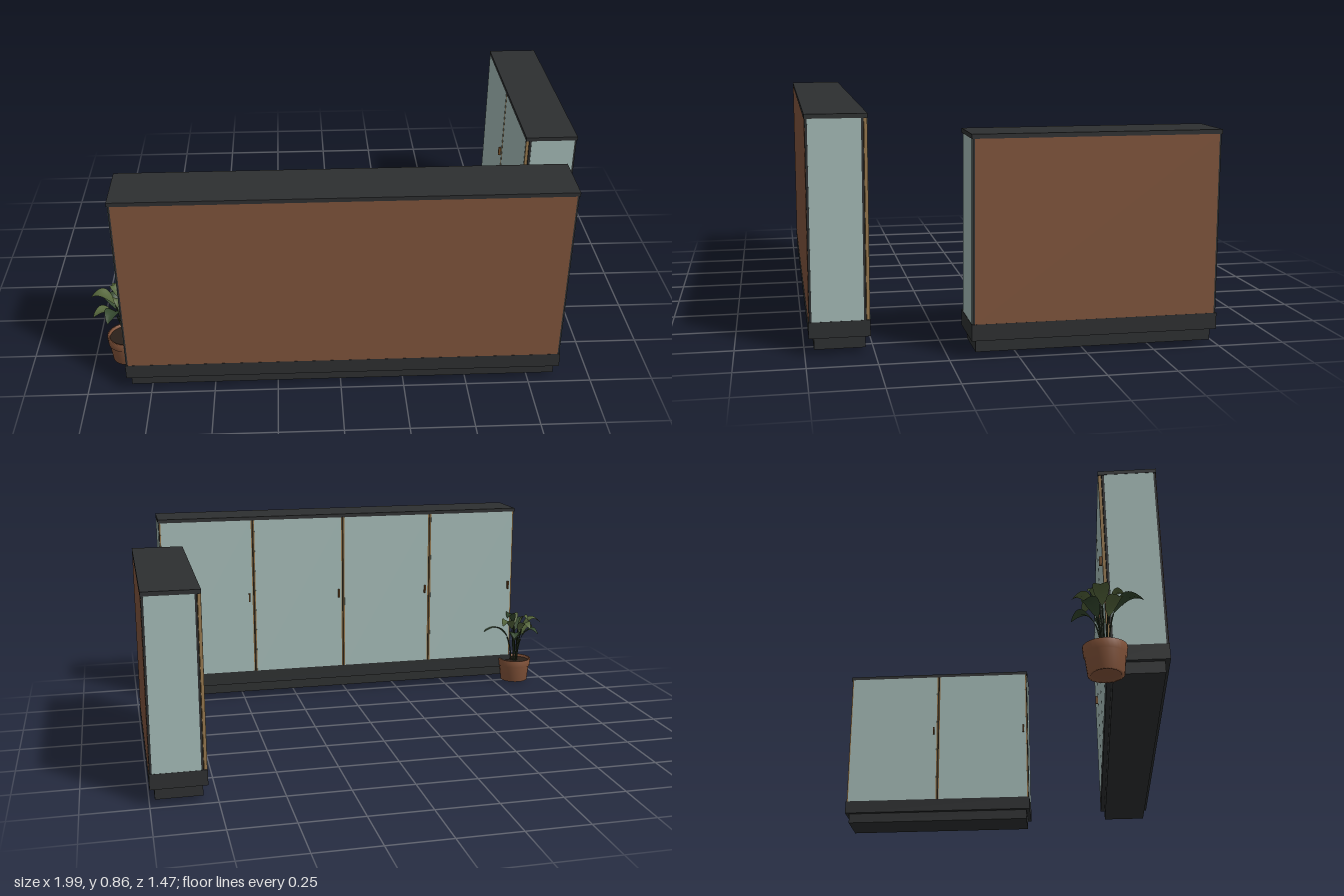
import * as THREE from 'three';

const mat = (name, color, side = THREE.FrontSide) => {
  const m = new THREE.MeshStandardMaterial({ color, side });
  m.name = name;
  return m;
};
const dark = mat('charcoal', 0x2d2f30);
const pale = mat('pale teal', 0xa2b8b4);
const brown = mat('brown board', 0x7e533b);
const gold = mat('wood edging', 0x94764c);
const brass = mat('handle brown', 0x6e4a26);
const clay = mat('terracotta', 0x84543a);
const soil = mat('soil', 0x2b2019);
const leafLight = mat('olive leaf', 0x55663c, THREE.DoubleSide);
const leafDark = mat('dark leaf', 0x35492f, THREE.DoubleSide);
const stemGreen = mat('stem green', 0x26341f);

function add(group, name, geometry, material, x = 0, y = 0, z = 0) {
  const mesh = new THREE.Mesh(geometry, material);
  mesh.name = name;
  mesh.position.set(x, y, z);
  group.add(mesh);
  return mesh;
}
// box given by its size, centre x / z and bottom y
const box = (g, name, m, w, h, d, x, y, z) =>
  add(g, name, new THREE.BoxGeometry(w, h, d), m, x, y + h / 2, z);

// Cabinet along x: board on +z, doors on -z, pale panels on both ends
function cabinet(name, length, depth, top, doors) {
  const g = new THREE.Group();
  g.name = name;
  const y0 = 0.125, slab = 0.016, h = top - slab - y0, doorT = 0.012;
  box(g, 'plinth', dark, length - 0.034, 0.047, depth - 0.036, 0, 0.02, 0);
  box(g, 'base', dark, length, 0.06, depth, 0, 0.065, 0);
  box(g, 'topSlab', dark, length, slab, depth, 0, top - slab, 0);
  box(g, 'carcass', dark, length - 0.008, h, depth - doorT - 0.005, 0, y0, doorT / 2);
  box(g, 'backBoard', brown, length - 0.022, h, 0.004, 0, y0, depth / 2 - 0.0025);
  for (const s of [-1, 1])
    box(g, 'endPanel', pale, 0.004, h, depth - doorT - 0.022, s * (length / 2 - 0.003), y0, doorT / 2);

  // doors with wooden edging and a small handle
  const step = (length - 0.006) / doors;
  for (let i = 0; i < doors; i++) {
    const x = (i - (doors - 1) / 2) * step, z = -depth / 2 + doorT / 2 + 0.001;
    box(g, 'doorEdging', gold, step - 0.004, h, doorT, x, y0, z);
    box(g, 'doorFace', pale, step - 0.016, h, 0.002, x, y0, z - doorT / 2);
    box(g, 'handle', brass, 0.007, 0.038, 0.012, x - step / 2 + 0.022, 0.465, -depth / 2 - 0.005);
  }
  return g;
}

// Leaf blade: a plane swept along an arching curve, pointed at the tip
function leafGeometry(curve, sideways, width) {
  const geo = new THREE.PlaneGeometry(1, 1, 4, 10);
  const p = geo.attributes.position;
  for (let i = 0; i < p.count; i++) {
    const u = p.getX(i) * 2, t = p.getY(i) + 0.5;
    const w = width / 2 * Math.pow(Math.sin(Math.PI * Math.pow(t, 0.85)), 0.75);
    const q = curve.getPoint(t).addScaledVector(sideways, u * (w || 0));
    p.setXYZ(i, q.x, q.y + Math.abs(u) * (w || 0) * 0.3, q.z);
  }
  geo.computeVertexNormals();
  return geo;
}

function plant() {
  const g = new THREE.Group();
  g.name = 'pottedPlant';
  // pot with a rim, open at the top and recessed underneath
  const profile = [[0, 0.008], [0.05, 0.008], [0.053, 0], [0.065, 0], [0.073, 0.072],
    [0.077, 0.074], [0.08, 0.108], [0.071, 0.108], [0.069, 0.09]];
  add(g, 'pot', new THREE.LatheGeometry(profile.map(([x, y]) => new THREE.Vector2(x, y)), 32), clay);
  add(g, 'soil', new THREE.CylinderGeometry(0.07, 0.07, 0.006, 24), soil, 0, 0.094, 0);

  // leaf tips: x, height, z, blade width
  const tips = [
    [-0.13, 0.285, -0.01, 0.06], [-0.095, 0.24, -0.075, 0.06], [-0.035, 0.28, -0.112, 0.06],
    [0.045, 0.235, -0.115, 0.06], [0.09, 0.29, -0.07, 0.06], [0.165, 0.25, 0, 0.06],
    [-0.115, 0.24, 0.065, 0.055], [-0.045, 0.265, 0.145, 0.065], [-0.01, 0.3, 0.085, 0.05],
    [0.055, 0.32, -0.03, 0.055], [-0.05, 0.305, -0.05, 0.05],
  ];
  tips.forEach(([x, y, z, width], i) => {
    const tip = new THREE.Vector3(x, y, z);
    const out = new THREE.Vector3(x, 0, z);
    const joint = out.clone().multiplyScalar(0.25).setY(y - 0.03);
    const arch = out.clone().multiplyScalar(0.6).setY(y + 0.055);
    const sideways = new THREE.Vector3(-z, 0, x).normalize();
    const root = out.clone().multiplyScalar(0.1).setY(0.09);
    const bend = out.clone().multiplyScalar(0.12).setY((y + 0.09) / 2);
    add(g, 'stem', new THREE.TubeGeometry(
      new THREE.QuadraticBezierCurve3(root, bend, joint), 8, 0.0028, 6), stemGreen);
    add(g, 'leaf', leafGeometry(new THREE.QuadraticBezierCurve3(joint, arch, tip), sideways, width),
      i % 2 ? leafDark : leafLight);
  });
  return g;
}

export function createModel() {
  const model = new THREE.Group();
  model.name = 'cabinetsWithPlant';

  const long = cabinet('longCabinet', 1.715, 0.22, 0.864, 4);
  long.position.set(0.0125, 0, 0.625);

  const short = cabinet('shortCabinet', 0.908, 0.212, 0.798, 2);
  short.rotation.y = Math.PI / 2;
  short.position.set(0.892, 0, -0.283);

  const pot = plant();
  pot.position.set(-0.865, 0, 0.507);

  model.add(long, short, pot);
  return model;
}
